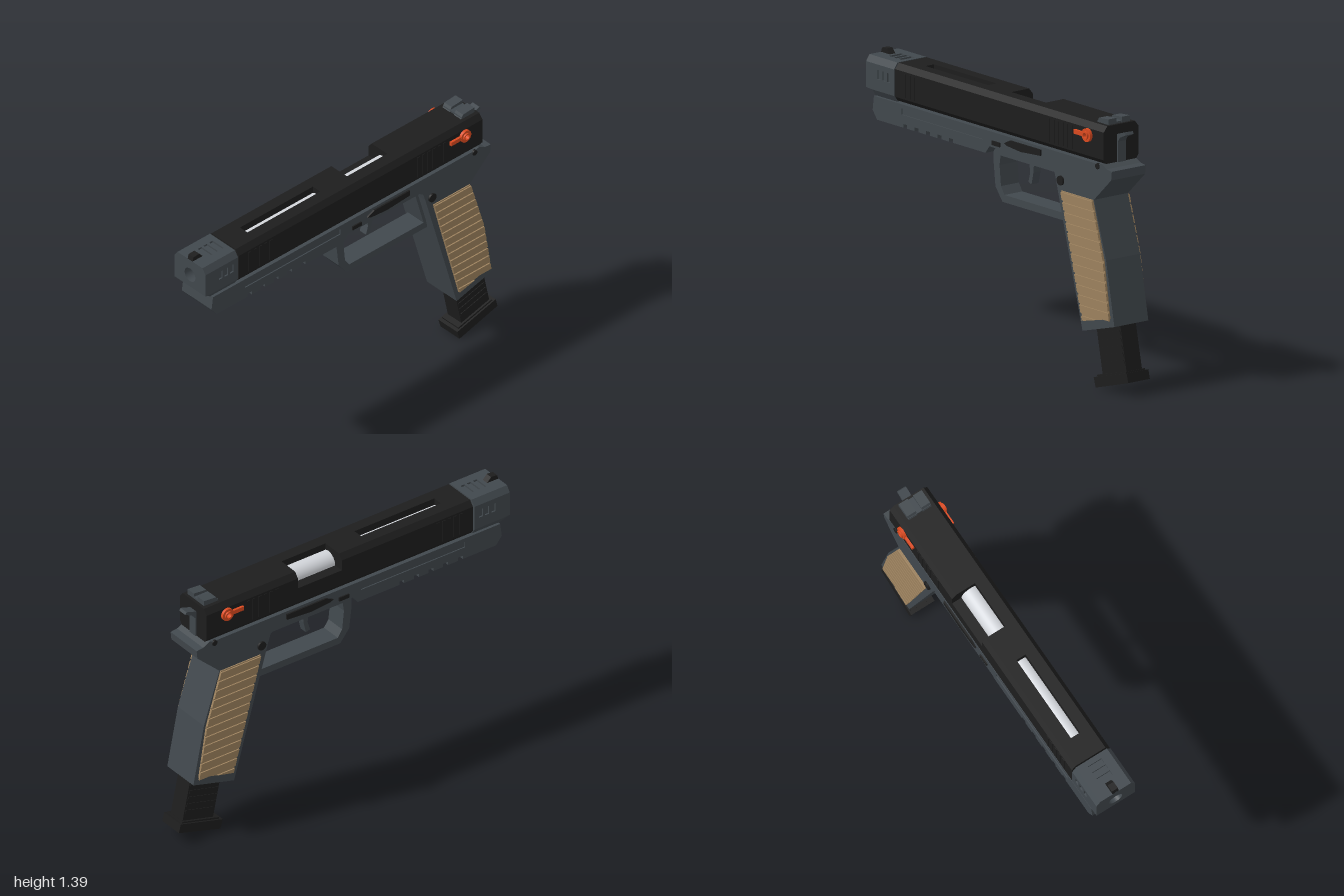
import * as THREE from 'three';

export function createModel() {
  const model = new THREE.Group();
  model.name = 'longSlideTargetPistol';

  const material = (name, color) => {
    const m = new THREE.MeshStandardMaterial({ color });
    m.name = name;
    return m;
  };
  const grey = material('slateGrey', 0x41484d);
  const black = material('black', 0x1d1d1d);
  const tan = material('tan', 0x9d825e);
  const orange = material('orange', 0xdc4a20);
  const silver = material('silver', 0xd2d5da);

  const add = (name, geometry, mat) => {
    const mesh = new THREE.Mesh(geometry, mat);
    mesh.name = name;
    model.add(mesh);
    return mesh;
  };
  const outline = (pts) => new THREE.Shape(pts.map((p) => new THREE.Vector2(p[0], p[1])));

  // Shape in the z-y plane, extruded across x and centred on cx
  const across = (name, shape, width, mat, cx) => {
    const g = new THREE.ExtrudeGeometry(shape, { depth: width, bevelEnabled: false, curveSegments: 24 });
    g.translate(0, 0, -width / 2);
    g.rotateY(-Math.PI / 2);
    g.translate(cx, 0, 0);
    return add(name, g, mat);
  };
  // Side profile of clockwise [z, y] points; a hole runs counter-clockwise
  const side = (name, pts, width, mat, cx = 0, hole = null) => {
    const shape = outline(pts);
    if (hole) shape.holes.push(outline(hole));
    return across(name, shape, width, mat, cx);
  };
  // Ring with its axis across x
  const ring = (name, outer, inner, width, x, y, z, mat) => {
    const shape = new THREE.Shape().absarc(z, y, outer, 0, Math.PI * 2, false);
    shape.holes.push(new THREE.Path().absarc(z, y, inner, 0, Math.PI * 2, true));
    return across(name, shape, width, mat, x);
  };
  // Cross-section of [x, y] points, extruded from z0 to z1
  const section = (name, shape, z0, z1, mat) => {
    const g = new THREE.ExtrudeGeometry(shape, { depth: z1 - z0, bevelEnabled: false, curveSegments: 24 });
    g.translate(0, 0, z0);
    return add(name, g, mat);
  };
  const box = (name, w, h, d, x, y, z, mat) =>
    add(name, new THREE.BoxGeometry(w, h, d).translate(x, y, z), mat);
  // Disc with its axis across x
  const pin = (name, r, width, x, y, z, mat) =>
    add(name, new THREE.CylinderGeometry(r, r, width, 20).rotateZ(Math.PI / 2).translate(x, y, z), mat);

  // Slide: one cross-section, opened at the top slot and the ejection port
  const base = [[-0.095, 1.166], [0.095, 1.166], [0.111, 1.187], [0.111, 1.328], [0.088, 1.357]];
  const leftTop = [[-0.088, 1.357], [-0.111, 1.328], [-0.111, 1.187]];
  const solid = outline([...base, ...leftTop]);
  const slotted = outline([...base, [0.027, 1.357], [0.027, 1.28], [-0.027, 1.28], [-0.027, 1.357], ...leftTop]);
  const ported = outline([...base, [0.025, 1.357], [0.025, 1.27], [-0.111, 1.27], [-0.111, 1.187]]);
  section('slideRear', solid, -0.86, -0.3, black);
  section('slidePort', ported, -0.3, -0.03, black);
  section('slideMiddle', solid, -0.03, 0.15, black);
  section('slideSlot', slotted, 0.15, 0.64, black);
  section('slideFront', solid, 0.64, 0.775, black);

  // Barrel, seen through the slide openings
  add('barrel', new THREE.CylinderGeometry(0.056, 0.056, 1.08, 32).rotateX(Math.PI / 2).translate(0, 1.27, 0.24), silver);

  // Compensator: plain sections alternate with sections cut for the vents
  const compLow = [[-0.092, 1.157], [0.092, 1.157], [0.113, 1.19]];
  const compPts = [...compLow, [0.113, 1.325], [0.091, 1.357], [-0.091, 1.357], [-0.113, 1.325], [-0.113, 1.19]];
  const plain = outline(compPts);
  const vented = outline([...compLow, [0.113, 1.25], [0.105, 1.25], [0.105, 1.297], [0.113, 1.297], [0.113, 1.325],
    [0.091, 1.357], [0.04, 1.357], [0.04, 1.347], [-0.04, 1.347], [-0.04, 1.357], [-0.091, 1.357],
    [-0.113, 1.325], [-0.113, 1.297], [-0.105, 1.297], [-0.105, 1.25], [-0.113, 1.25], [-0.113, 1.19]]);
  const cuts = [0.782, 0.811, 0.835, 0.849, 0.873, 0.887, 0.911, 0.95];
  for (let i = 0; i < cuts.length - 1; i++) {
    section('compensator', i % 2 ? vented : plain, cuts[i], cuts[i + 1], grey);
  }
  // Muzzle with a round recess and a chamfered lower front
  const muzzle = outline(compPts);
  muzzle.holes.push(new THREE.Path().absarc(0, 1.265, 0.039, 0, Math.PI * 2, true));
  const front = section('muzzle', muzzle, 0.95, 1, grey);
  const pos = front.geometry.attributes.position;
  for (let i = 0; i < pos.count; i++) {
    if (pos.getZ(i) > 0.99 && pos.getY(i) < 1.2) pos.setY(i, Math.max(pos.getY(i), 1.193));
  }
  front.geometry.computeVertexNormals();

  // Frame and grip in one profile, with accessory rail slots underneath
  const frame = [[-0.81, 1.158], [0.945, 1.158], [0.955, 1.085], [0.92, 1.041]];
  for (let i = 0; i < 5; i++) {
    const z = 0.715 - i * 0.09;
    frame.push([z, 1.041], [z, 1.06], [z - 0.03, 1.06], [z - 0.03, 1.041]);
  }
  frame.push([0.07, 1.041], [0.04, 1.08], [-0.44, 1.08], [-0.465, 1.065], [-0.48, 1.02], [-0.69, 0.285],
    [-0.94, 0.353], [-0.875, 0.68], [-0.78, 0.97], [-0.915, 1.095], [-0.92, 1.14], [-0.88, 1.145], [-0.84, 1.165]);
  side('frameAndGrip', frame, 0.204, grey);

  // Trigger guard and trigger
  side('triggerGuard',
    [[0.07, 1.08], [0.07, 0.99], [0.055, 0.865], [0, 0.797], [-0.54, 0.797], [-0.48, 1.08]], 0.114, grey, 0,
    [[-0.46, 1.03], [-0.515, 0.835], [-0.015, 0.835], [0.012, 0.875], [0.023, 0.98], [0.015, 1.03]]);
  side('trigger', [[-0.165, 1.04], [-0.205, 1.04], [-0.2, 0.98], [-0.185, 0.917], [-0.16, 0.925], [-0.175, 0.975]], 0.045, grey);

  // Grip panel edges by height, used for the ribs
  const frontZ = (y) => -0.53 - (0.97 - y) * 0.27;
  const backZ = (y) => (y > 0.67 ? -0.775 - (0.97 - y) * 0.3 : -0.865 - (0.67 - y) * 0.161);

  for (const s of [-1, 1]) {
    // Outer frame skin, open over a long sunken panel
    side('frameSkin', frame, 0.006, grey, s * 0.105,
      [[0.09, 1.105], [0.73, 1.105], [0.73, 1.137], [0.09, 1.137]]);

    // Tan grip panel with horizontal ribs
    side('gripPanel', [[-0.53, 0.968], [-0.7, 0.338], [-0.91, 0.388], [-0.865, 0.67], [-0.775, 0.968]],
      0.006, tan, s * 0.111);
    for (let i = 0; i < 12; i++) {
      const top = 0.962 - i * 0.0495;
      const low = top - 0.039;
      side('gripRib', [[frontZ(top), top], [frontZ(low), low], [backZ(low), low], [backZ(top), top]],
        0.008, tan, s * 0.117);
    }
    side('gripRibBottom', [[-0.694, 0.364], [-0.7, 0.34], [-0.8, 0.364]], 0.008, tan, s * 0.117);

    // Slide serrations
    for (let i = 0; i < 6; i++) {
      box('rearSerration', 0.005, 0.12, 0.018, s * 0.111, 1.257, -0.43 - i * 0.035, black);
      if (i < 5) box('frontSerration', 0.005, 0.12, 0.018, s * 0.111, 1.257, 0.56 + i * 0.035, black);
    }

    // Safety lever
    ring('safetyHub', 0.034, 0.014, 0.016, s * 0.118, 1.293, -0.738, orange);
    ring('safetyCollar', 0.021, 0.014, 0.008, s * 0.13, 1.293, -0.738, orange);
    box('safetyArm', 0.014, 0.022, 0.075, s * 0.117, 1.293, -0.677, orange);

    // Slide stop and pins
    side('slideStop', [[-0.085, 1.122], [-0.13, 1.144], [-0.37, 1.144], [-0.37, 1.114], [-0.215, 1.103], [-0.105, 1.113]],
      0.012, black, s * 0.111);
    box('takedownCatch', 0.012, 0.022, 0.06, s * 0.109, 1.104, -0.017, black);
    pin('magazineButton', 0.024, 0.018, s * 0.109, 1.018, -0.523, black);
    pin('rearPin', 0.015, 0.012, s * 0.107, 1.147, -0.81, black);
  }

  // Sights and hammer
  side('frontSight', [[1, 1.355], [0.993, 1.38], [0.955, 1.383], [0.93, 1.355]], 0.036, black);
  const rearSight = [[-0.755, 1.355], [-0.77, 1.38], [-0.845, 1.386], [-0.845, 1.355]];
  for (const s of [-1, 1]) side('rearSight', rearSight, 0.052, grey, s * 0.042);
  box('rearSightBase', 0.136, 0.012, 0.085, 0, 1.361, -0.802, grey);
  side('hammer', [[-0.85, 1.165], [-0.85, 1.305], [-0.92, 1.327], [-0.928, 1.314], [-0.88, 1.292], [-0.866, 1.27], [-0.866, 1.165]], 0.05, grey);

  // Magazine with raised bands and a stepped floor plate
  side('magazine', [[-0.72, 0.34], [-0.78, 0.05], [-0.967, 0.1], [-0.907, 0.38]], 0.098, black);
  for (let i = 0; i < 5; i++) {
    const z = -0.737 - i * 0.0078;
    const y = 0.275 - i * 0.036;
    side('magazineBand', [[z, y], [z - 0.004, y - 0.018], [z - 0.179, y + 0.028], [z - 0.175, y + 0.046]], 0.104, black);
  }
  side('floorPlateTop', [[-0.745, 0.064], [-0.755, 0.03], [-0.98, 0.09], [-0.972, 0.124]], 0.12, black);
  side('floorPlate', [[-0.73, 0.05], [-0.745, 0], [-1, 0.073], [-0.988, 0.12]], 0.138, black);

  return model;
}
